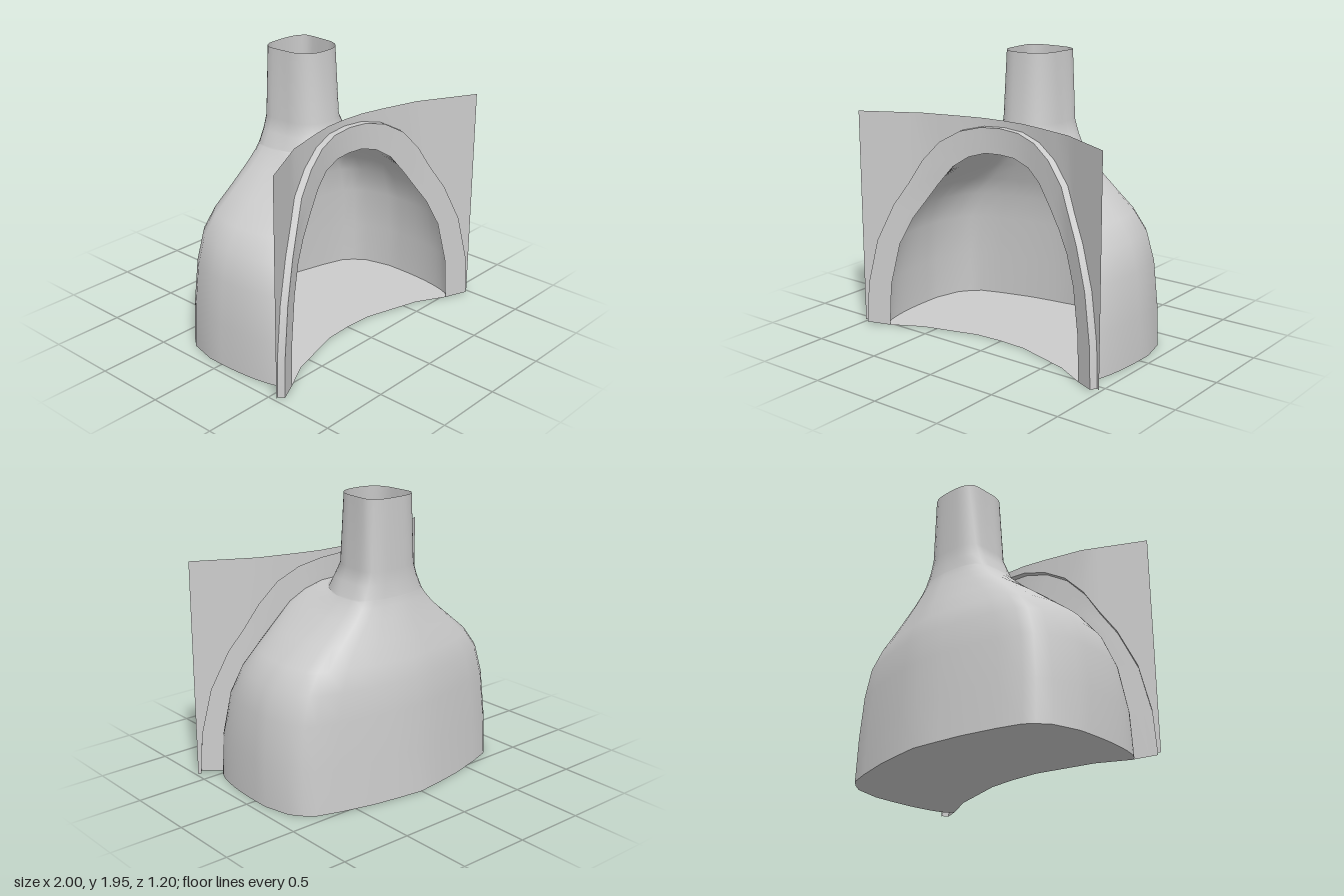
import * as THREE from 'three';
import { mergeVertices } from 'three/addons/utils/BufferGeometryUtils.js';

const { lerp, smoothstep } = THREE.MathUtils;
const material = new THREE.MeshStandardMaterial({ color: 0xcccccc, side: THREE.DoubleSide });

// Bowed front in straight facets: the wall panel, and the arch frame standing proud of it
const bowNodes = [[0, 0], [0.2, 0.03], [0.6, 0.36], [1, 1]];
const bow = (x) => {
  const a = Math.abs(x);
  const i = a < 0.2 ? 0 : a < 0.6 ? 1 : 2;
  const [[x0, z0], [x1, z1]] = bowNodes.slice(i, i + 2);
  return lerp(z0, z1, (a - x0) / (x1 - x0));
};
const panelZ = (x) => 0.24 + 0.33 * bow(x);
const frameZ = (x) => 0.285 + 0.34 * bow(x);

// Hood levels up to the top of the opening: y, opening half width, half width, z of widest point, back z
const openLevels = [
  [0, 0.81, 0.93, 0, -0.6],
  [0.3, 0.795, 0.925, 0, -0.58],
  [0.6, 0.735, 0.895, 0, -0.56],
  [0.79, 0.65, 0.835, -0.01, -0.54],
  [0.92, 0.56, 0.735, -0.03, -0.5],
  [1.05, 0.465, 0.575, -0.05, -0.45],
  [1.18, 0.36, 0.4, -0.075, -0.4],
  [1.255, 0.25, 0.32, -0.09, -0.37],
  [1.295, 0.12, 0.287, -0.1, -0.358],
  [1.3, 0, 0.284, -0.1, -0.357],
];

// Closed levels of the flue: y, front z, half width, z of widest point, back z
const flueLevels = [
  [1.305, 0.22, 0.281, -0.1, -0.355],
  [1.39, 0.165, 0.238, -0.11, -0.337],
  [1.48, 0.11, 0.206, -0.12, -0.33],
  [1.95, 0.075, 0.184, -0.125, -0.325],
];

// Back half of a section from the side to the middle, as fractions of width and depth
const hoodBack = [[1, 0.18], [0.95, 0.5], [0.885, 0.63], [0.82, 0.72], [0.65, 0.81], [0.4, 0.91], [0.2, 0.96], [0, 1]];
const flueBack = [[1.02, 0.2], [1.03, 0.45], [1.01, 0.7], [0.88, 0.83], [0.65, 0.95], [0.4, 0.985], [0.2, 0.995], [0, 1]];

// Outer arch, from the foot to the crown, one point per inner arch point
const outerHalf = [
  [0.98, 0.015], [0.965, 0.3], [0.9, 0.62], [0.79, 0.88], [0.69, 1.04],
  [0.6, 1.2], [0.47, 1.34], [0.32, 1.425], [0.16, 1.465], [0, 1.475],
];

// Continue a half run of points (ending at x = 0) on the other side
const mirror = (half) => [...half, ...half.slice(0, -1).reverse().map(([x, ...rest]) => [-x, ...rest])];

// Surface through rows of points
function loft(rows) {
  const n = rows[0].length;
  const index = [];
  for (let r = 0; r < rows.length - 1; r++) {
    for (let i = 0; i < n - 1; i++) {
      const a = r * n + i;
      index.push(a, a + 1, a + n, a + 1, a + n + 1, a + n);
    }
  }
  const geometry = new THREE.BufferGeometry();
  geometry.setAttribute('position', new THREE.Float32BufferAttribute(rows.flat(2), 3));
  geometry.setIndex(index);
  const merged = mergeVertices(geometry);
  merged.computeVertexNormals();
  return merged;
}

// Horizontal section, from the left front edge round the back to the right front edge;
// the plan changes from the wide hood to the squarer flue with height
function hoodSection(y, frontX, frontZ, width, midZ, backZ, frontPower) {
  const steps = 10;
  const half = [];
  const bend = (v) => Math.pow(Math.max(v, 0), 2 / frontPower);
  for (let i = 0; i <= steps; i++) {
    const a = (1 - i / steps) * Math.PI / 2;
    half.push([
      frontX + (width - frontX) * bend(Math.cos(a)), y,
      midZ + (frontZ - midZ) * bend(Math.sin(a)),
    ]);
  }
  const t = smoothstep(y, 1, 1.48);
  hoodBack.forEach(([x, z], i) => half.push([
    width * lerp(x, flueBack[i][0], t), y,
    midZ + (backZ - midZ) * lerp(z, flueBack[i][1], t),
  ]));
  return mirror(half);
}

export function createModel() {
  const group = new THREE.Group();
  const add = (name, geometry) => {
    const mesh = new THREE.Mesh(geometry, material);
    mesh.name = name;
    group.add(mesh);
  };

  // Hood and flue in one skin, open at the arch and at the top
  const sections = [
    ...openLevels.map(([y, fx, w, mz, bz]) =>
      hoodSection(y, fx, frameZ(fx), w, mz, bz, 2 - 0.4 * smoothstep(y, 0.8, 1.3))),
    ...flueLevels.map(([y, fz, w, mz, bz], i) => hoodSection(y, 0, fz, w, mz, bz, 1.9 + 0.25 * i)),
  ];
  add('hoodAndFlue', loft(sections));

  // Hearth floor, following the hood foot and the bowed front
  const outline = sections[0].map(([x, , z]) => new THREE.Vector2(x, -z));
  for (const x of [-0.6, -0.2, 0, 0.2, 0.6]) outline.push(new THREE.Vector2(x, -frameZ(x)));
  add('hearthFloor', new THREE.ShapeGeometry(new THREE.Shape(outline)).rotateX(-Math.PI / 2));

  // Arch frame: front face between the outer and inner arch
  const outerBack = mirror(outerHalf);
  const outerFront = outerBack.map(([x, y]) => [x - 0.033 * x / Math.hypot(1, 0.66 * x), y]);
  const inner = mirror(openLevels.map(([y, x]) => [x, y]));
  const faceRows = [0, 1 / 3, 2 / 3, 1].map((t) => outerFront.map(([x, y], i) => {
    const px = lerp(x, inner[i][0], t);
    return [px, lerp(y, inner[i][1], t), frameZ(px)];
  }));
  add('archFrameFace', loft(faceRows));

  // Arch frame: outer rim back to the panel
  add('archFrameRim', loft([
    outerBack.map(([x, y]) => [x, y, panelZ(x)]),
    faceRows[0],
  ]));

  // Bowed wall panel above and beside the arch
  const foot = [[1, 0.015], ...outerBack, [-1, 0.015]];
  add('wallPanel', loft([
    foot.map(([x]) => [x, 1.52, panelZ(x)]),
    foot.map(([x, y]) => [x, y, panelZ(x)]),
  ]));

  return group;
}
